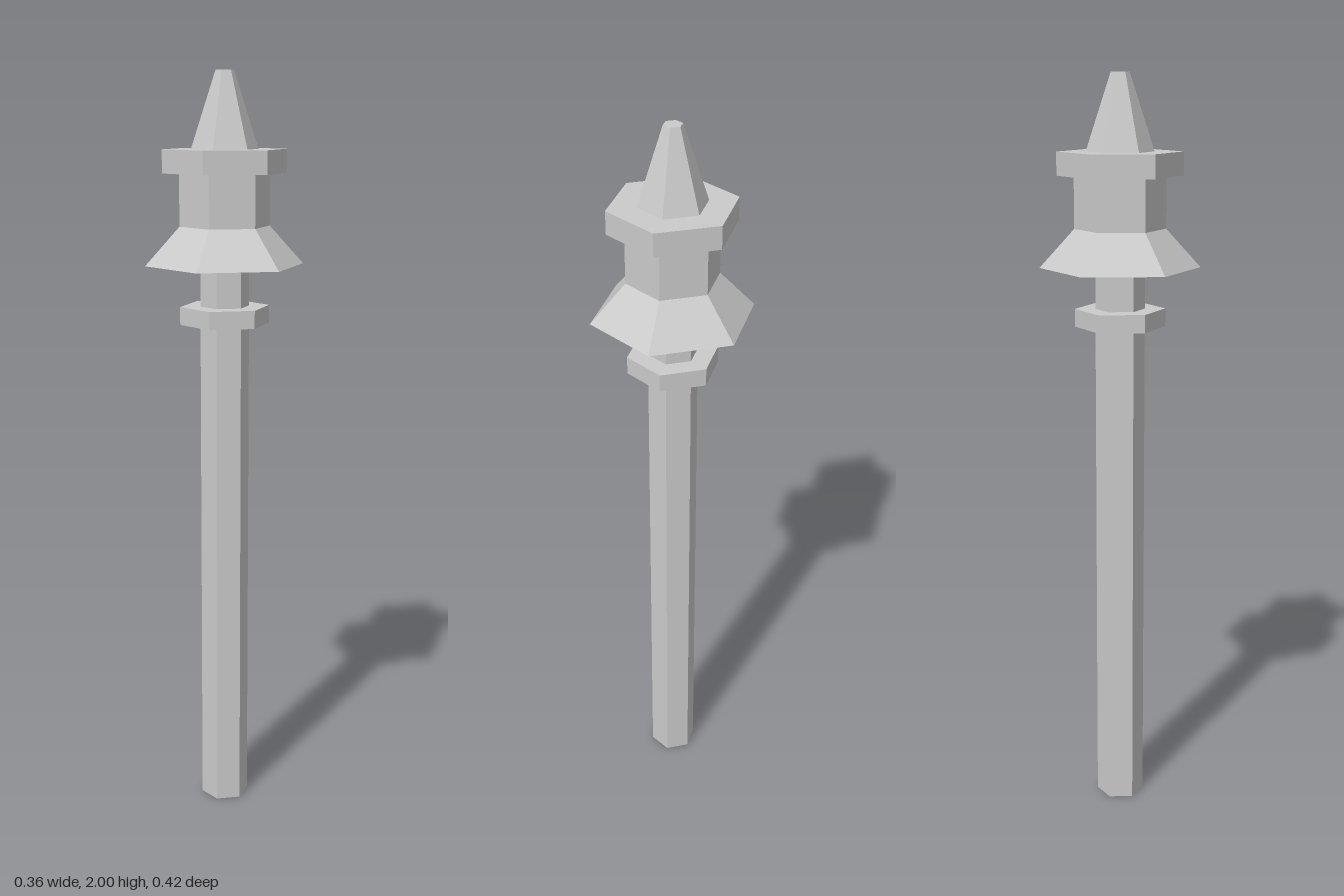
import * as THREE from 'three';

export function createModel() {
  const group = new THREE.Group();
  const material = new THREE.MeshStandardMaterial({ color: 0xcccccc, flatShading: true });

  // Six-sided section between two heights, with corners on the z axis
  function hexPart(name, bottomRadius, topRadius, y0, y1) {
    const geometry = new THREE.CylinderGeometry(topRadius, bottomRadius, y1 - y0, 6);
    const mesh = new THREE.Mesh(geometry, material);
    mesh.name = name;
    mesh.position.y = (y0 + y1) / 2;
    group.add(mesh);
  }

  hexPart('pole', 0.065, 0.065, 0, 1.51);
  hexPart('collar', 0.119, 0.119, 1.355, 1.402);
  hexPart('flaredSkirt', 0.21, 0.119, 1.51, 1.61);
  hexPart('headBody', 0.119, 0.119, 1.61, 1.745);
  hexPart('capRim', 0.163, 0.163, 1.745, 1.805);
  hexPart('spire', 0.088, 0.024, 1.805, 2);

  return group;
}
